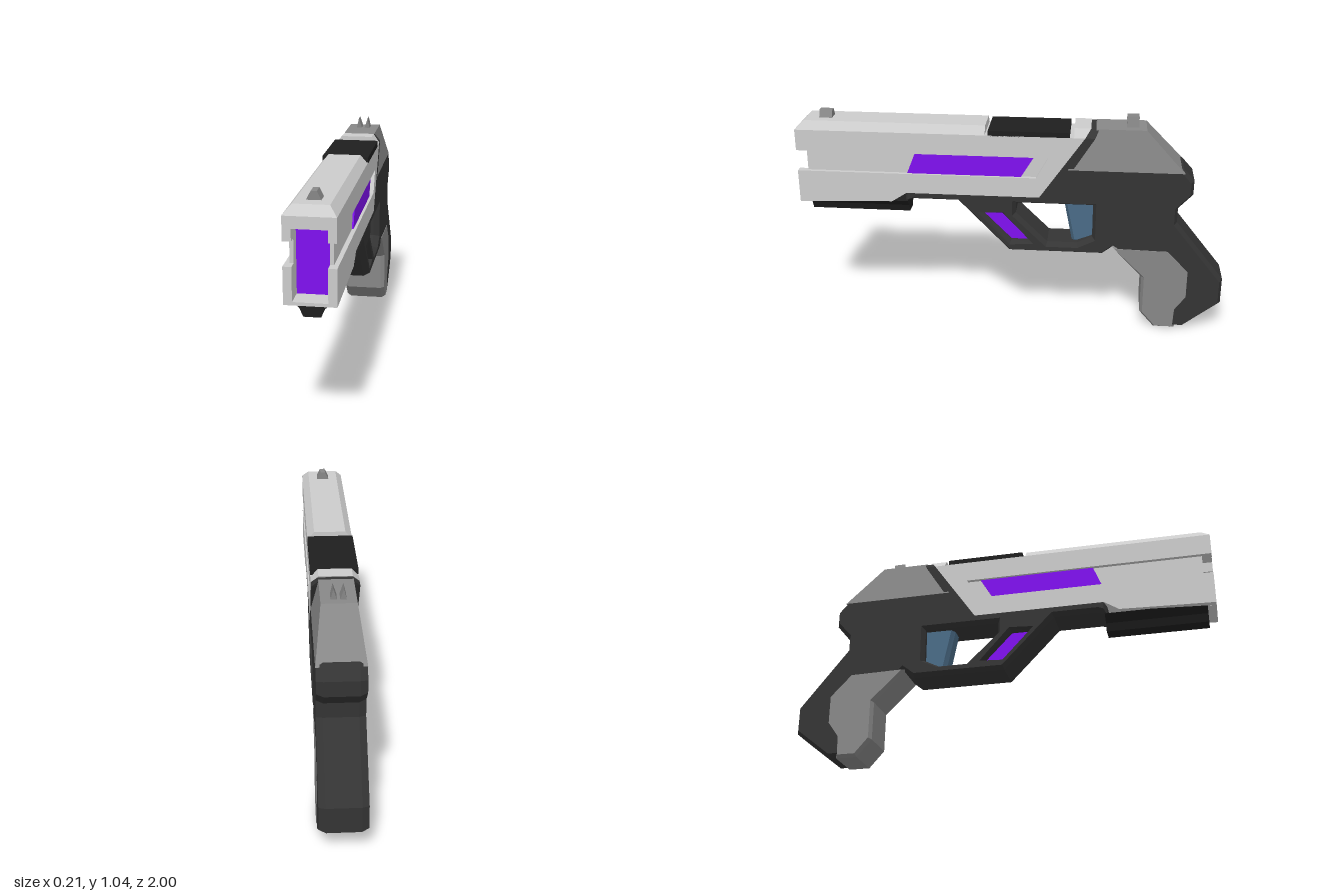
import * as THREE from 'three';

const paint = (color) => new THREE.MeshStandardMaterial({ color, flatShading: true });
const LIGHT = paint(0xcccccc), MID = paint(0x878787), DARK = paint(0x343434);
const BLACK = paint(0x1e1e1e), PURPLE = paint(0x7f10f0), BLUE = paint(0x4a6b86);

const toShape = (pts) => new THREE.Shape(pts.map(([a, b]) => new THREE.Vector2(a, b)));

export function createModel() {
  const group = new THREE.Group();
  const add = (name, geo, mat) => {
    const mesh = new THREE.Mesh(geo, mat);
    mesh.name = name;
    group.add(mesh);
    return mesh;
  };

  // Side profile of [z, y] points, extruded across x from x0 to x1
  const slab = (name, mat, pts, x0, x1, { size = 0, thick = 0, holes = [] } = {}) => {
    const shape = toShape(pts);
    holes.forEach((h) => shape.holes.push(toShape(h)));
    const geo = new THREE.ExtrudeGeometry(shape, {
      depth: x1 - x0 - 2 * thick, bevelEnabled: size > 0, bevelSegments: 1,
      bevelSize: size, bevelThickness: thick, bevelOffset: -size,
    });
    geo.translate(0, 0, thick - x1).rotateY(-Math.PI / 2);
    return add(name, geo, mat);
  };
  const centred = (name, mat, pts, half, opts) => slab(name, mat, pts, -half, half, opts);
  const bothSides = (name, mat, pts, x0, x1) => {
    slab(name + 'Left', mat, pts, x0, x1);
    slab(name + 'Right', mat, pts, -x1, -x0);
  };

  // Centred slab whose sides lean inward between heights y0 and y1
  const tapered = (name, mat, pts, y0, y1, low, high) => {
    const mesh = centred(name, mat, pts, 1);
    const p = mesh.geometry.attributes.position;
    for (let i = 0; i < p.count; i++) {
      const t = THREE.MathUtils.clamp((p.getY(i) - y0) / (y1 - y0), 0, 1);
      p.setX(i, p.getX(i) * THREE.MathUtils.lerp(low, high, t));
    }
    mesh.geometry.computeVertexNormals();
  };

  // Front profile of [x, y] points, extruded along z from z0 to z1
  const bar = (name, mat, pts, z0, z1) => {
    const geo = new THREE.ExtrudeGeometry(toShape(pts), { depth: z1 - z0, bevelEnabled: false });
    add(name, geo.translate(0, 0, z0), mat);
  };
  const rect = (hw, y0, y1) => [[-hw, y0], [hw, y0], [hw, y1], [-hw, y1]];

  // Slide: side plates with a long groove open at the muzzle
  bothSides('slidePlate', LIGHT, [
    [1, 0.6], [1, 0.755], [-0.115, 0.755], [-0.17, 0.855], [1, 0.855], [1, 0.955],
    [-0.335, 0.955], [-0.13, 0.66], [0.49, 0.66], [0.56, 0.615],
  ], 0.07, 0.105);
  centred('slideCore', LIGHT, [
    [0.9, 0.605], [0.9, 0.955], [-0.33, 0.955], [-0.13, 0.665], [0.49, 0.665], [0.56, 0.62],
  ], 0.071);
  bothSides('grooveFloor', LIGHT, [
    [0.955, 0.75], [0.955, 0.86], [-0.18, 0.86], [-0.125, 0.75],
  ], 0.07, 0.086);
  bothSides('glowStrip', PURPLE, [
    [0.485, 0.755], [0.445, 0.855], [-0.105, 0.855], [-0.045, 0.755],
  ], 0.08, 0.093);

  // Muzzle recess
  bar('muzzleLintel', LIGHT, rect(0.071, 0.905, 0.955), 0.89, 1);
  bar('muzzleLip', LIGHT, rect(0.071, 0.6, 0.614), 0.89, 1);
  bar('muzzleGlow', PURPLE, rect(0.07, 0.614, 0.905), 0.89, 0.905);

  // Chamfered top of the slide and the dark cover in its gap
  tapered('slideTopFront', LIGHT,
    [[1, 0.955], [0.96, 0.992], [0.12, 0.992], [0.12, 0.955]], 0.955, 0.992, 0.105, 0.073);
  tapered('slideTopRear', LIGHT,
    [[-0.285, 0.955], [-0.285, 0.992], [-0.36, 0.992], [-0.335, 0.955]], 0.955, 0.992, 0.105, 0.073);
  bar('topCover', BLACK, rect(0.105, 0.95, 0.978), -0.265, 0.105);

  // Rail below the muzzle
  bar('underRail', BLACK,
    [[-0.085, 0.61], [-0.05, 0.575], [-0.035, 0.54], [0.035, 0.54], [0.05, 0.575], [0.085, 0.61]], 0.49, 0.96);

  // Frame, trigger guard and grip back in one piece
  centred('frame', DARK, [
    [0.5, 0.7], [0.5, 0.61], [0.46, 0.622], [0.25, 0.622], [0.01, 0.375], [-0.43, 0.375],
    [-0.48, 0.415], [-0.635, 0.27], [-0.635, 0.09], [-0.7, 0.01], [-0.83, 0.005], [-1, 0.14],
    [-1, 0.265], [-0.77, 0.55], [-0.77, 0.62], [-0.835, 0.69], [-0.835, 0.76],
    [-0.785, 0.815], [-0.2, 0.815], [-0.1, 0.7],
  ], 0.104, {
    size: 0.015, thick: 0.03,
    holes: [
      [[-0.02, 0.62], [-0.38, 0.62], [-0.38, 0.46], [-0.31, 0.425], [-0.17, 0.425], [-0.02, 0.57]],
      [[0.135, 0.565], [0.045, 0.565], [-0.085, 0.43], [0, 0.43]],
    ],
  });
  centred('guardGlow', PURPLE, [[0.16, 0.58], [0.03, 0.58], [-0.1, 0.415], [0, 0.415]], 0.065);
  centred('trigger', BLUE, [
    [-0.24, 0.64], [-0.4, 0.64], [-0.4, 0.45], [-0.31, 0.415], [-0.285, 0.415],
  ], 0.055, { size: 0.015, thick: 0.025 });

  // Grip panel wrapping the front of the handle
  centred('gripPanel', MID, [
    [-0.47, 0.42], [-0.62, 0.265], [-0.62, 0.08], [-0.69, 0], [-0.79, 0], [-0.795, 0.1],
    [-0.845, 0.17], [-0.845, 0.31], [-0.74, 0.42],
  ], 0.106, { size: 0.012, thick: 0.02 });

  // Dark slanted band between slide and receiver
  centred('band', DARK, [
    [-0.1, 0.665], [-0.32, 0.955], [-0.38, 0.955], [-0.27, 0.78], [-0.22, 0.665],
  ], 0.104);
  tapered('bandTop', DARK,
    [[-0.33, 0.955], [-0.355, 0.986], [-0.395, 0.986], [-0.38, 0.955]], 0.955, 0.986, 0.104, 0.075);

  // Rear receiver with leaning sides and sloped back
  tapered('receiver', MID,
    [[-0.26, 0.8], [-0.385, 0.99], [-0.61, 0.99], [-0.79, 0.8]], 0.8, 0.99, 0.105, 0.075);

  // Sights
  bar('frontSight', MID, [[-0.033, 0.985], [0.033, 0.985], [0.012, 1.027], [-0.012, 1.027]], 0.84, 0.9);
  for (const s of [-1, 1]) {
    bar('rearSight' + (s > 0 ? 'Left' : 'Right'), MID,
      [[s * 0.005, 0.985], [s * 0.034, 0.985], [s * 0.022, 1.038]], -0.575, -0.52);
  }
  return group;
}
